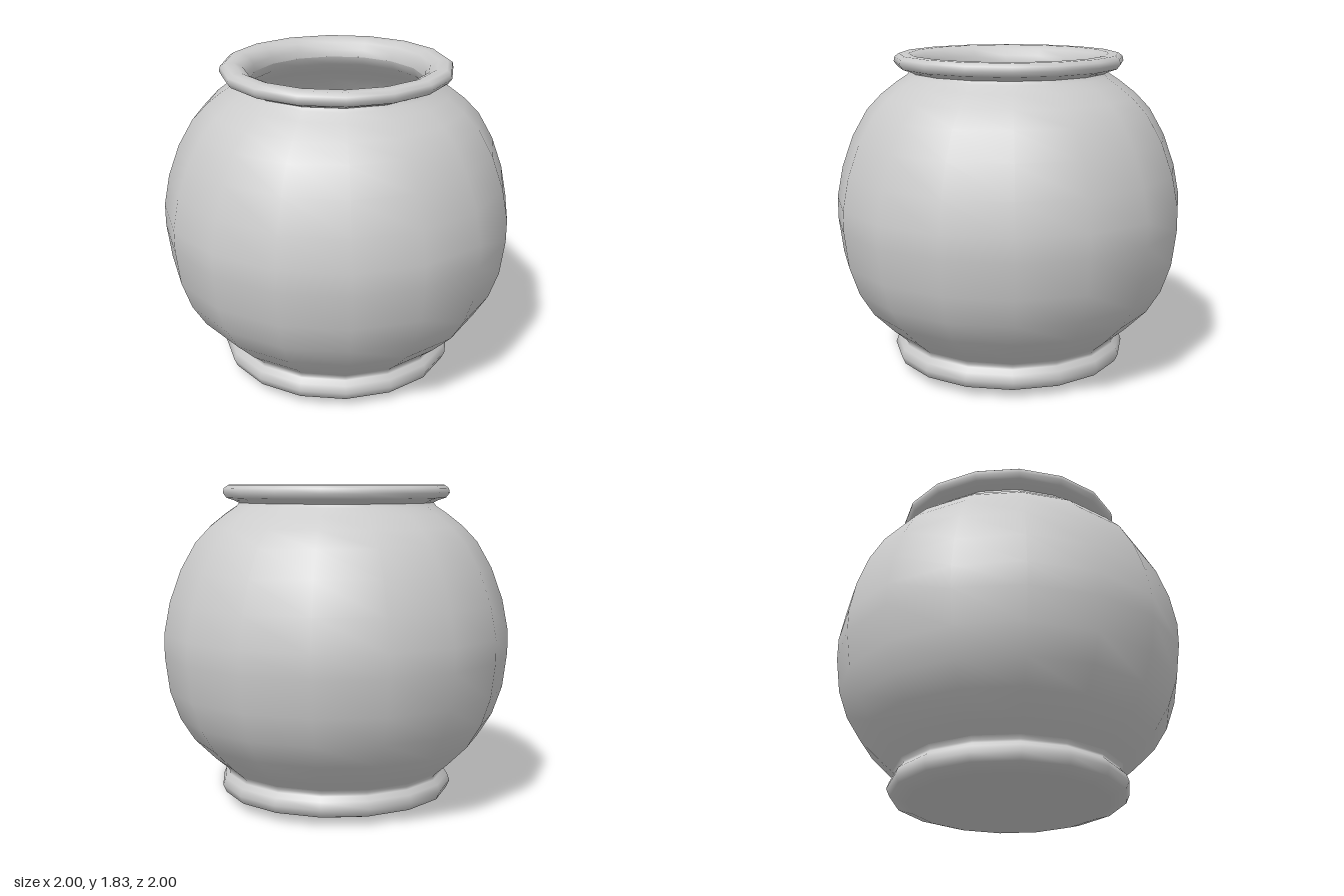
import * as THREE from 'three';

const SIDES = 16;

// Smooth lathe from [radius, height] points, running bottom to top on outer faces
function turned(name, points, material) {
  const profile = points.map(([r, y]) => new THREE.Vector2(r, y));
  const mesh = new THREE.Mesh(new THREE.LatheGeometry(profile, SIDES), material);
  mesh.name = name;
  return mesh;
}

export function createModel() {
  const group = new THREE.Group();
  group.name = 'roundPot';
  const clay = new THREE.MeshStandardMaterial({ color: 0xcccccc, side: THREE.DoubleSide });

  // Slightly domed underside and rounded foot ring
  const foot = [
    [0, 0], [0.32, 0.006], [0.57, 0.025], [0.66, 0.055], [0.68, 0.1],
    [0.665, 0.14], [0.64, 0.165], [0.635, 0.18], [0.65, 0.2],
  ];
  // Round belly up to the pinched neck
  const belly = [
    [0.65, 0.2], [0.72, 0.26], [0.84, 0.38], [0.92, 0.51], [0.975, 0.67],
    [1, 0.87], [1, 1.0], [0.965, 1.18], [0.9, 1.36], [0.815, 1.51],
    [0.73, 1.6], [0.64, 1.67], [0.58, 1.71], [0.565, 1.73],
  ];
  // Rolled lip, over the top and down into the mouth
  const rim = [
    [0.565, 1.73], [0.59, 1.743], [0.635, 1.758], [0.655, 1.785], [0.65, 1.812],
    [0.625, 1.83], [0.57, 1.83], [0.525, 1.81], [0.5, 1.77], [0.495, 1.73],
  ];
  // Hollow interior, from the mouth down to the floor
  const interior = [
    [0.495, 1.73], [0.51, 1.68], [0.6, 1.61], [0.69, 1.54], [0.77, 1.45],
    [0.85, 1.32], [0.91, 1.16], [0.94, 1.0], [0.94, 0.87], [0.915, 0.69],
    [0.86, 0.54], [0.79, 0.42], [0.68, 0.31], [0.56, 0.22], [0.35, 0.15], [0, 0.12],
  ];

  group.add(
    turned('foot', foot, clay),
    turned('belly', belly, clay),
    turned('rim', rim, clay),
    turned('interior', interior, clay),
  );
  return group;
}
